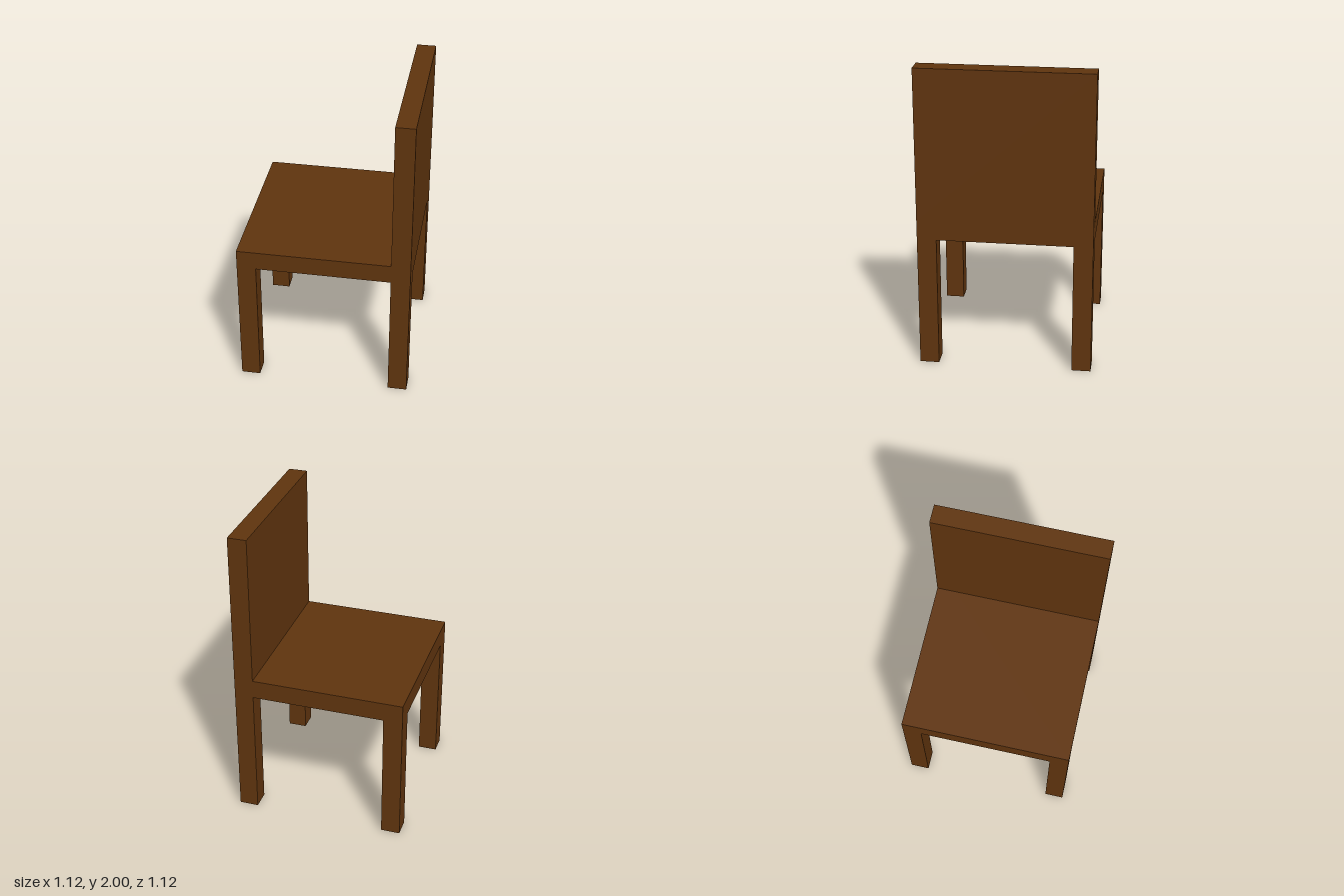
import * as THREE from 'three';

const WIDTH = 1.125;      // seat side
const THICK = 0.125;      // board and leg thickness
const SEAT_TOP = 1;
const HEIGHT = 2;

export function createModel() {
  const chair = new THREE.Group();
  chair.name = 'chair';

  const wood = new THREE.MeshStandardMaterial({ color: 0x5f340e });
  wood.name = 'dark brown wood';

  // Box standing on height y
  const addBox = (name, w, h, d, x, y, z) => {
    const mesh = new THREE.Mesh(new THREE.BoxGeometry(w, h, d), wood);
    mesh.name = name;
    mesh.position.set(x, y + h / 2, z);
    chair.add(mesh);
  };

  const edge = (WIDTH - THICK) / 2;
  const legHeight = SEAT_TOP - THICK;

  // Seat, with the backrest rising from its +x edge
  addBox('seat', WIDTH, THICK, WIDTH, 0, legHeight, 0);
  addBox('backrest', THICK, HEIGHT - SEAT_TOP, WIDTH, edge, SEAT_TOP, 0);

  // Four square legs flush with the seat corners
  for (const sx of [-1, 1]) {
    for (const sz of [-1, 1]) {
      const name = (sz > 0 ? 'front' : 'back') + (sx > 0 ? 'Left' : 'Right') + 'Leg';
      addBox(name, THICK, legHeight, THICK, sx * edge, 0, sz * edge);
    }
  }

  return chair;
}
